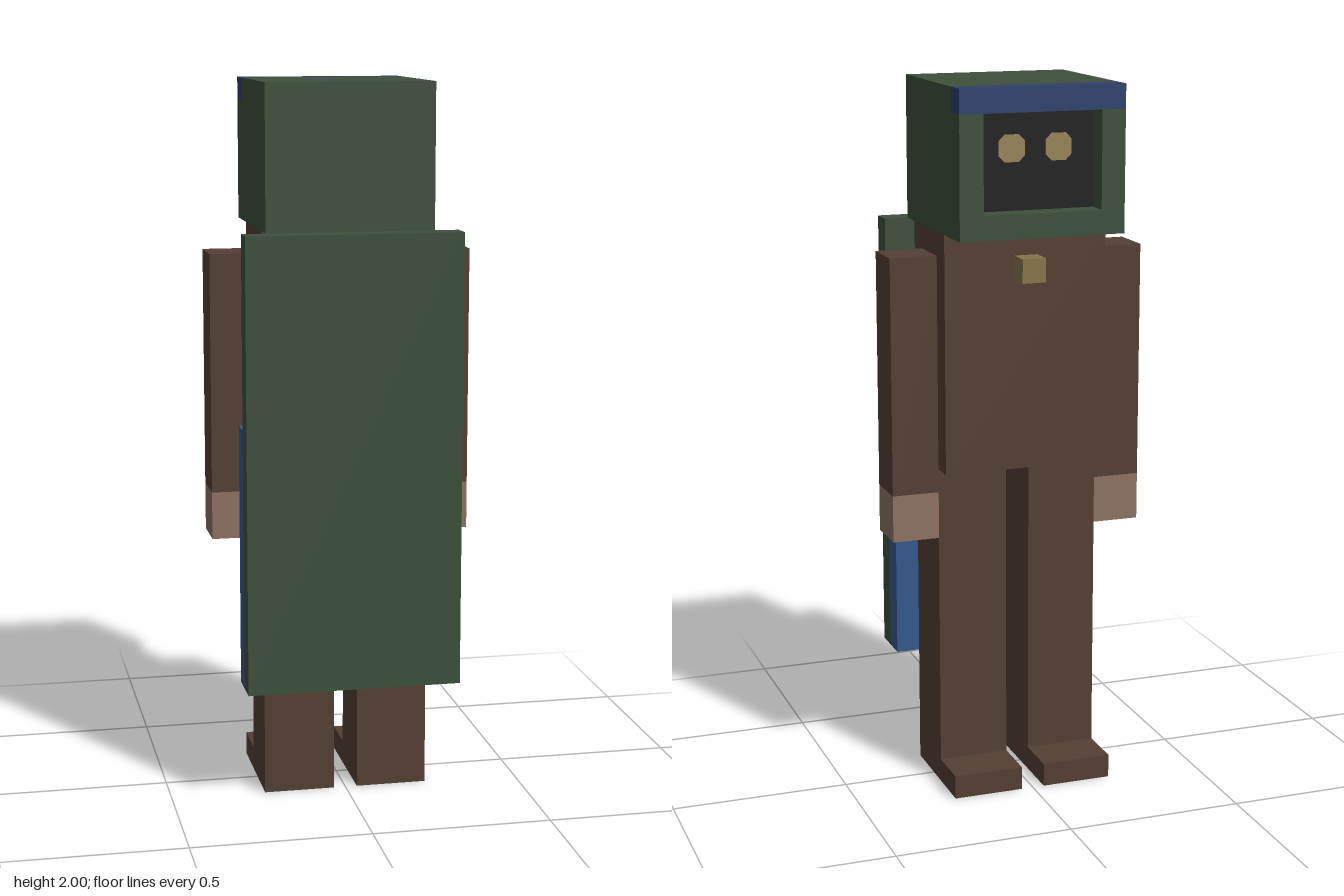
import * as THREE from 'three';

const U = 1 / 15; // block unit: the figure is 30 units tall

const mat = (name, color) => {
  const m = new THREE.MeshStandardMaterial({ color });
  m.name = name;
  return m;
};

export function createModel() {
  const green = mat('cloak green', 0x3d503b);
  const brown = mat('robe brown', 0x543f33);
  const skin = mat('hand tan', 0x8f7361);
  const blue = mat('lining blue', 0x35588e);
  const navy = mat('trim navy', 0x2d416c);
  const gold = mat('clasp gold', 0x85764c);
  const eyeTan = mat('eye tan', 0x988459);
  const black = mat('face black', 0x202020);

  const model = new THREE.Group();
  model.name = 'hoodedFigure';

  // Box given by its minimum and maximum corners, in block units
  const box = (parent, name, material, a, b) => {
    const geo = new THREE.BoxGeometry(...a.map((v, i) => Math.abs(b[i] - v) * U));
    geo.translate(...a.map((v, i) => ((v + b[i]) / 2) * U));
    const mesh = new THREE.Mesh(geo, material);
    mesh.name = name;
    parent.add(mesh);
    return mesh;
  };
  const group = (name) => {
    const g = new THREE.Group();
    g.name = name;
    model.add(g);
    return g;
  };

  // Hood with a recessed face opening towards -z
  const head = group('head');
  box(head, 'hood', green, [-3.5, 24, -3], [3.5, 30, 3]);
  box(head, 'hoodTrim', navy, [-3.5, 29, -4], [3.5, 30, -3]);
  box(head, 'hoodChin', green, [-3.5, 24, -4], [3.5, 25, -3]);
  box(head, 'face', black, [-2.5, 25, -3.04], [2.5, 29, -3]);

  // Eye outline: a square with clipped corners
  const r = 0.55 * U, c = 0.3 * U;
  const eyeShape = new THREE.Shape([
    [r, c], [c, r], [-c, r], [-r, c], [-r, -c], [-c, -r], [c, -r], [r, -c],
  ].map(([x, y]) => new THREE.Vector2(x, y)));
  const eyeGeo = new THREE.ExtrudeGeometry(eyeShape, { depth: 0.04 * U, bevelEnabled: false });

  // Torso and clasp
  const body = group('body');
  box(body, 'torso', brown, [-3.5, 14, -2], [3.5, 24, 2]);
  box(body, 'clasp', gold, [-0.5, 22, -3], [0.5, 23, -2]);

  // Cape with a lining on the lower half
  const cape = group('cape');
  box(cape, 'capeCloth', green, [-4.5, 5, 3], [4.5, 24, 4]);
  box(cape, 'capeLining', blue, [-4.5, 5, 2], [4.5, 16, 3]);

  // Mirrored parts
  for (const [s, side] of [[1, 'left'], [-1, 'right']]) {
    box(head, side + 'HoodSide', green, [s * 2.5, 25, -4], [s * 3.5, 29, -3]);

    const eye = new THREE.Mesh(eyeGeo, eyeTan);
    eye.name = side + 'Eye';
    eye.position.set(s * U, 27.5 * U, -3.08 * U);
    head.add(eye);

    const arm = group(side + 'Arm');
    box(arm, side + 'Sleeve', brown, [s * 3.5, 13, -1], [s * 5.5, 23, 1]);
    box(arm, side + 'Hand', skin, [s * 3.5, 11, -1], [s * 5.5, 13, 1]);

    const leg = group(side + 'Leg');
    box(leg, side + 'Shin', brown, [s * 0.5, 0, -1], [s * 3.5, 14, 2]);
    box(leg, side + 'Foot', brown, [s * 0.5, 0, -3], [s * 3.5, 1, -1]);
  }

  return model;
}
